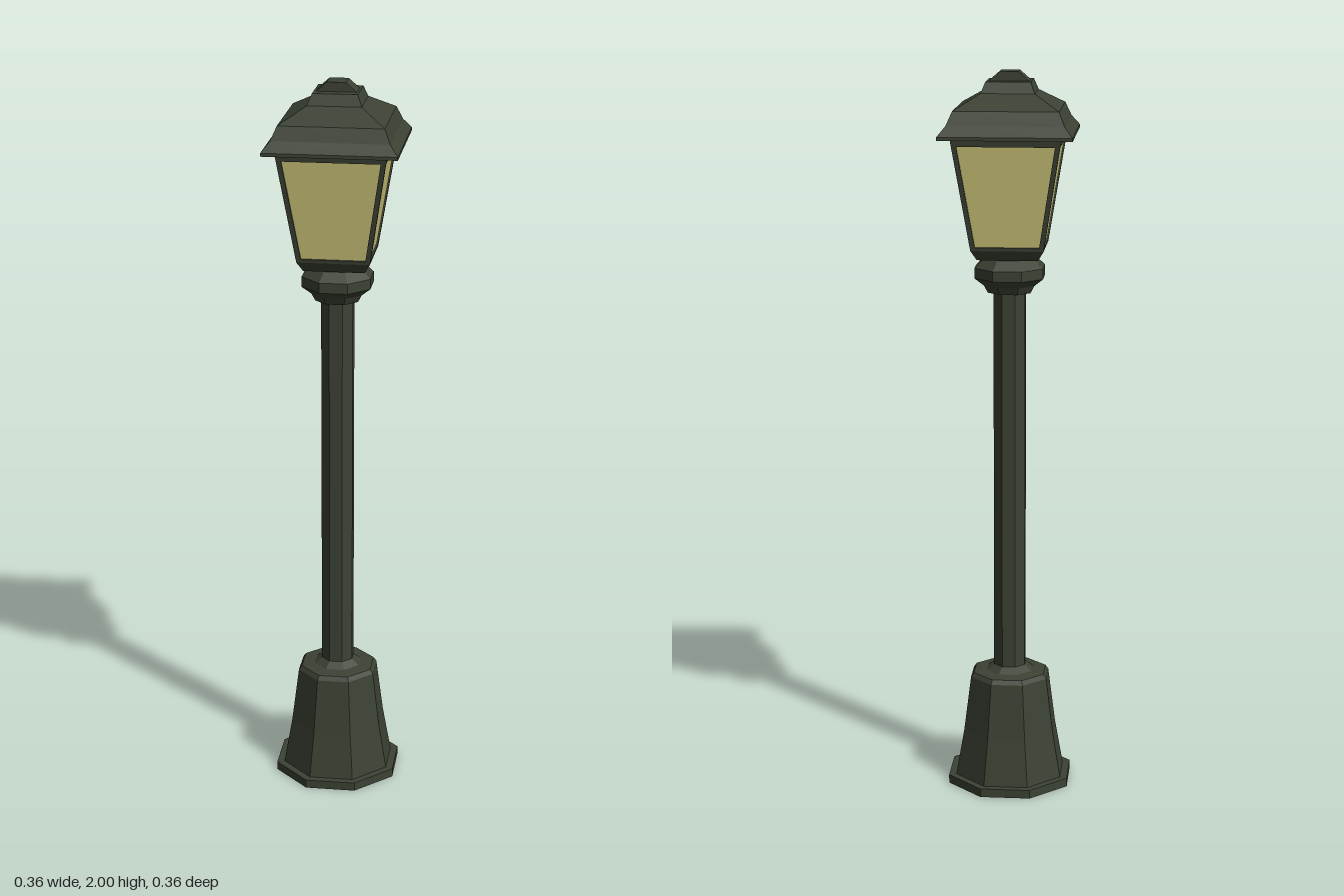
import * as THREE from 'three';

const metal = new THREE.MeshStandardMaterial({ color: 0x3c4234, flatShading: true });
metal.name = 'dark green metal';
const glassMat = new THREE.MeshStandardMaterial({ color: 0xd0c87a, side: THREE.DoubleSide });
glassMat.name = 'pale yellow glass';

function add(parent, name, geometry, material) {
  const mesh = new THREE.Mesh(geometry, material);
  mesh.name = name;
  parent.add(mesh);
  return mesh;
}

// Prism-like turned part: profile of [half width across flats, height], flats facing the axes
function turned(sides, profile) {
  const k = 1 / Math.cos(Math.PI / sides);
  const points = profile.map(([r, y]) => new THREE.Vector2(r * k, y));
  return new THREE.LatheGeometry(points, sides, Math.PI / sides);
}

// Trapezoid outline, given half widths and heights
function trapezoid(target, w0, y0, w1, y1) {
  target.moveTo(-w0, y0);
  target.lineTo(w0, y0);
  target.lineTo(w1, y1);
  target.lineTo(-w1, y1);
  target.closePath();
  return target;
}

export function createModel() {
  const lamp = new THREE.Group();
  lamp.name = 'streetLamp';

  // Octagonal foot, post and collar
  add(lamp, 'footPlate', turned(8, [[0, 0], [0.167, 0], [0.167, 0.024], [0, 0.024]]), metal);
  add(lamp, 'pedestal', turned(8, [
    [0.147, 0.024], [0.125, 0.155], [0.106, 0.31], [0.098, 0.322], [0.062, 0.326], [0.043, 0.342],
  ]), metal);
  add(lamp, 'post', turned(8, [[0.043, 0.32], [0.043, 1.42]]), metal);
  add(lamp, 'collar', turned(8, [
    [0, 1.405], [0.058, 1.405], [0.068, 1.425], [0.093, 1.446], [0.093, 1.474], [0.068, 1.5], [0.068, 1.515],
  ]), metal);

  // Lantern tray
  add(lamp, 'lanternTray', turned(4, [[0, 1.503], [0.082, 1.503], [0.098, 1.53], [0, 1.53]]), metal);

  // Four sloping frames, each holding a pane
  const y0 = 1.53, y1 = 1.835, r0 = 0.098, r1 = 0.147;
  const tilt = Math.atan2(r1 - r0, y1 - y0);
  const slant = Math.hypot(r1 - r0, y1 - y0);
  const frameShape = trapezoid(new THREE.Shape(), r0, 0, r1, slant);
  frameShape.holes.push(trapezoid(new THREE.Path(), 0.086, 0.009, 0.13, slant - 0.023));
  const frameGeo = new THREE.ExtrudeGeometry(frameShape, { depth: 0.012, bevelEnabled: false });
  frameGeo.translate(0, 0, -0.012);
  const paneGeo = new THREE.ShapeGeometry(
    trapezoid(new THREE.Shape(), 0.089, 0.004, 0.134, slant - 0.015));
  paneGeo.translate(0, 0, -0.005);
  for (const geo of [frameGeo, paneGeo]) geo.rotateX(tilt).translate(0, y0, r0);
  ['front', 'left', 'back', 'right'].forEach((side, i) => {
    const panel = new THREE.Group();
    panel.name = side + 'Panel';
    panel.rotation.y = i * Math.PI / 2;
    add(panel, side + 'Frame', frameGeo, metal);
    add(panel, side + 'Glass', paneGeo, glassMat);
    lamp.add(panel);
  });

  // Square roof with flared eaves and a small upper tier
  add(lamp, 'roof', turned(4, [
    [0, 1.832], [0.178, 1.832], [0.178, 1.841], [0.156, 1.868], [0.14, 1.905],
    [0.072, 1.945], [0.06, 1.975], [0, 1.975],
  ]), metal);

  // Bevelled ridge cap running side to side
  const cap = new THREE.ExtrudeGeometry(
    trapezoid(new THREE.Shape(), 0.056, 1.973, 0.025, 2), { depth: 0.06, bevelEnabled: false });
  cap.translate(0, 0, -0.03);
  add(lamp, 'roofCap', cap, metal);

  return lamp;
}
